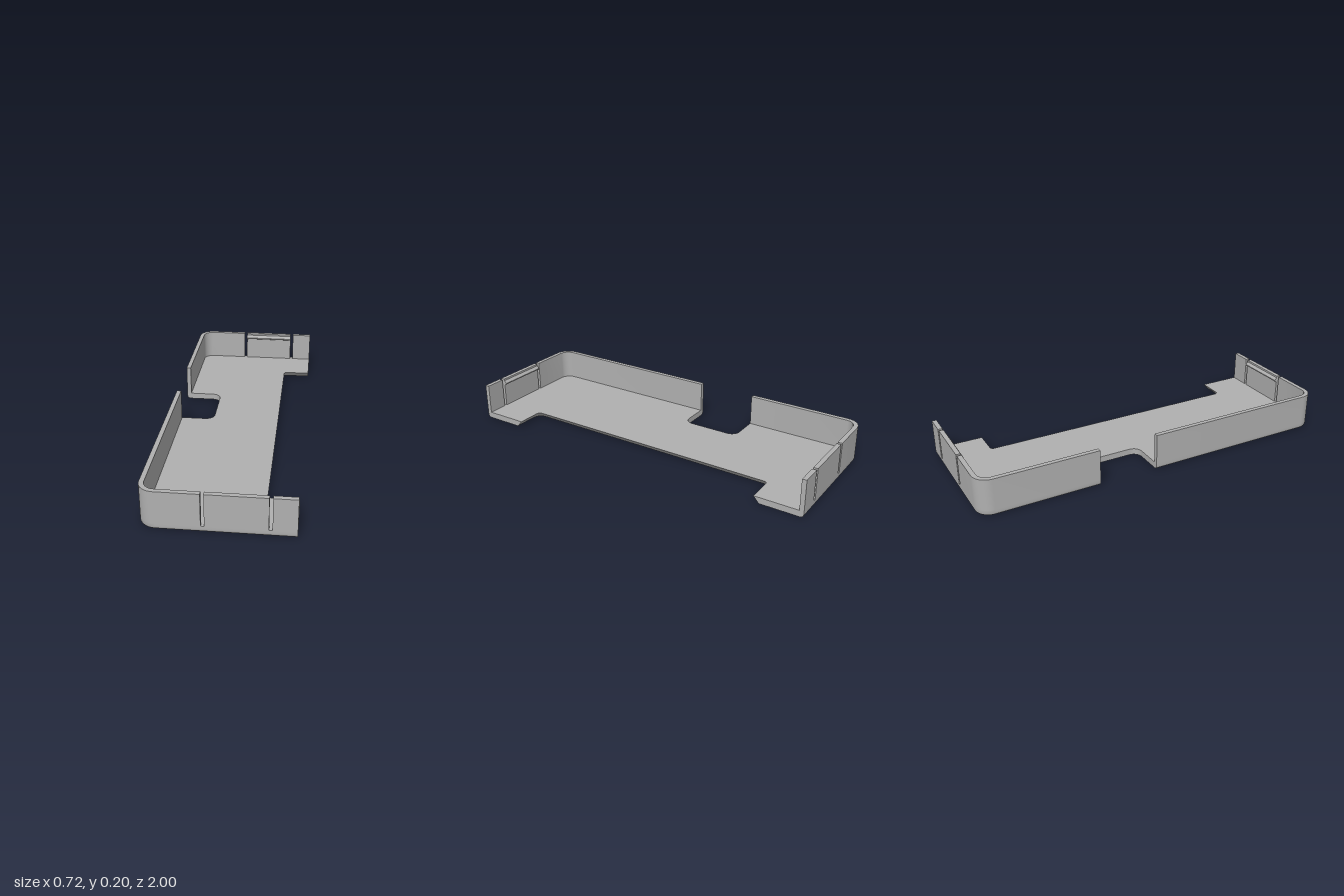
import * as THREE from 'three';
import { toCreasedNormals } from 'three/addons/utils/BufferGeometryUtils.js';

const FLOOR = 0.034, TOP = 0.2, WALL = 0.024, BEND = 0.08, ROUND = 0.018, BEVEL = 0.03;

// Points of an arc, angles in degrees
function arc(cx, cy, r, from, to, n = 10) {
  return Array.from({ length: n + 1 }, (_, i) => {
    const a = THREE.MathUtils.degToRad(from + (to - from) * i / n);
    return new THREE.Vector2(cx + r * Math.cos(a), cy + r * Math.sin(a));
  });
}
const P = (x, y) => new THREE.Vector2(x, y);

// Floor outline in (x, -z): d insets the outer edge, e widens the long cutout
function outline(d, e) {
  return [
    P(0.36, d - 1), P(0.36, -0.74 - e),
    ...arc(0.228, -0.72, 0.02 + e, 270, 180),
    ...arc(0.228, 0.72, 0.02 + e, 180, 90),
    P(0.36, 0.74 + e), P(0.36, 1 - d),
    ...arc(-0.28, 0.92, BEND - d, 90, 180),
    P(d - 0.36, 0.365),
    ...arc(-0.205, 0.315, 0.05, 90, 0),
    ...arc(-0.205, 0.09, 0.05, 0, -90),
    P(d - 0.36, 0.04),
    ...arc(-0.28, -0.92, BEND - d, 180, 270),
  ];
}

// Floor: outline rings stacked up the rounded lower edge, then capped
function floorGeometry() {
  const rings = [];
  const addRing = (y, d) => rings.push({ y, pts: outline(d, BEVEL * (1 - y / FLOOR)) });
  for (let i = 0; i <= 6; i++) {
    const a = i / 6 * Math.PI / 2;
    addRing(ROUND * (1 - Math.cos(a)), ROUND * (1 - Math.sin(a)));
  }
  addRing(FLOOR, 0);
  const pos = [];
  const put = (ring, j) => {
    const p = ring.pts[j % ring.pts.length];
    pos.push(p.x, ring.y, -p.y);
  };
  for (let i = 0; i < rings.length - 1; i++) {
    const lo = rings[i], hi = rings[i + 1];
    for (let j = 0; j < lo.pts.length; j++) {
      put(lo, j); put(lo, j + 1); put(hi, j + 1);
      put(lo, j); put(hi, j + 1); put(hi, j);
    }
  }
  const cap = (ring, flip) => {
    for (const [a, b, c] of THREE.ShapeUtils.triangulateShape(ring.pts.slice(), [])) {
      put(ring, a); put(ring, flip ? c : b); put(ring, flip ? b : c);
    }
  };
  cap(rings[0], true);
  cap(rings[rings.length - 1], false);
  const g = new THREE.BufferGeometry();
  g.setAttribute('position', new THREE.Float32BufferAttribute(pos, 3));
  return toCreasedNormals(g, 0.5);
}

// Curved wall from the side gap round a corner to the first slot; s = 1 back, -1 front
function cornerWallGeometry(s, gapEdge) {
  const pts = [
    P(-0.072, s), ...arc(-0.28, s * 0.92, BEND, s * 90, s * 180), P(-0.36, gapEdge),
    P(-0.36 + WALL, gapEdge), ...arc(-0.28, s * 0.92, BEND - WALL, s * 180, s * 90),
    P(-0.072, s * (1 - WALL)),
  ];
  const g = new THREE.ExtrudeGeometry(new THREE.Shape(pts), { depth: TOP - FLOOR, bevelEnabled: false });
  g.rotateX(-Math.PI / 2).translate(0, FLOOR, 0);
  return toCreasedNormals(g, 0.5);
}

// Snap ridge: wedge profile in (z, y), run along x
function ridgeGeometry(length) {
  const profile = new THREE.Shape([P(0.977, 0.162), P(0.977, 0.191), P(0.963, 0.175), P(0.963, 0.169)]);
  const g = new THREE.ExtrudeGeometry(profile, { depth: length, bevelEnabled: false });
  return g.translate(0, 0, -length / 2).rotateY(-Math.PI / 2);
}

export function createModel() {
  const model = new THREE.Group();
  model.name = 'cutoutTray';
  const grey = new THREE.MeshStandardMaterial({ color: 0xb0b0b0 });
  grey.name = 'grey plastic';
  const add = (name, geometry) => {
    const m = new THREE.Mesh(geometry, grey);
    m.name = name;
    model.add(m);
    return m;
  };

  add('floor', floorGeometry());
  add('backCornerWall', cornerWallGeometry(1, 0.365));
  add('frontCornerWall', cornerWallGeometry(-1, 0.04));

  // Straight end walls, parted by slots, with a snap ridge inside each tab
  for (const [end, s] of [['front', 1], ['back', -1]]) {
    for (const [part, x0, x1] of [['SnapTab', -0.056, 0.232], ['EndPost', 0.248, 0.36]]) {
      const wall = add(end + part, new THREE.BoxGeometry(x1 - x0, TOP - FLOOR, WALL));
      wall.position.set((x0 + x1) / 2, (TOP + FLOOR) / 2, s * (1 - WALL / 2));
    }
    const ridge = add(end + 'SnapRidge', ridgeGeometry(0.288));
    ridge.position.x = 0.088;
    ridge.rotation.y = s > 0 ? 0 : Math.PI;
  }
  return model;
}
